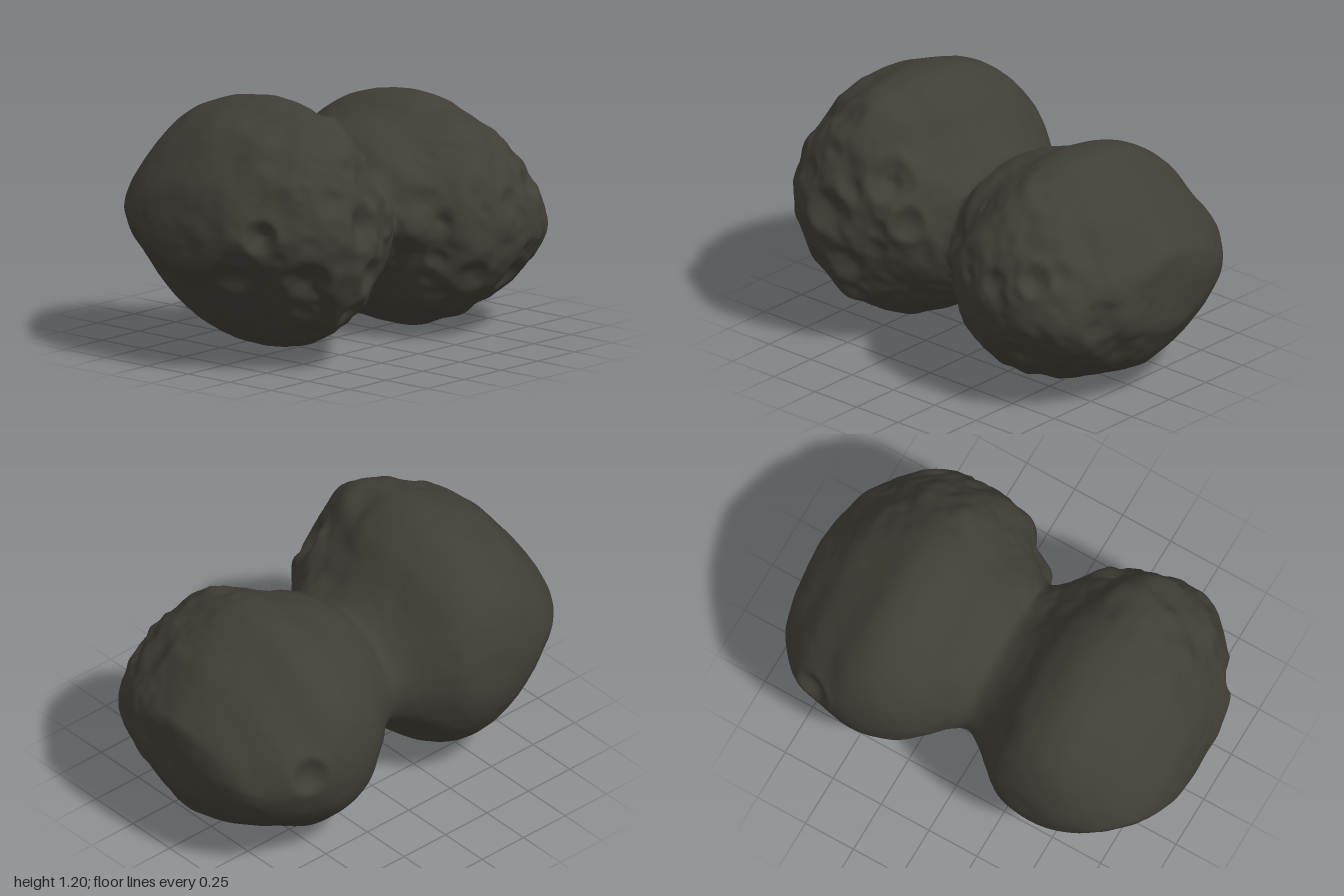
import * as THREE from 'three';
import { mergeVertices } from 'three/addons/utils/BufferGeometryUtils.js';

const { smoothstep } = THREE.MathUtils;

// outline of the body along x: [x, top y, bottom y, back z, front z]
const PROFILE = [
  [-1.0, 0.60, 0.60, -0.04, -0.04],
  [-0.993, 0.72, 0.51, -0.24, 0.17],
  [-0.96, 0.86, 0.46, -0.38, 0.29],
  [-0.88, 0.98, 0.38, -0.50, 0.42],
  [-0.78, 1.10, 0.26, -0.575, 0.56],
  [-0.66, 1.165, 0.14, -0.625, 0.62],
  [-0.53, 1.205, 0.07, -0.648, 0.63],
  [-0.40, 1.195, 0.05, -0.645, 0.60],
  [-0.27, 1.11, 0.10, -0.615, 0.545],
  [-0.16, 0.985, 0.185, -0.53, 0.48],
  [-0.08, 0.91, 0.25, -0.46, 0.41],
  [0.0, 0.88, 0.285, -0.42, 0.35],
  [0.08, 0.935, 0.225, -0.455, 0.41],
  [0.16, 0.975, 0.135, -0.52, 0.49],
  [0.27, 1.015, 0.055, -0.595, 0.595],
  [0.40, 1.07, 0.012, -0.635, 0.635],
  [0.53, 1.065, 0.02, -0.643, 0.63],
  [0.66, 0.995, 0.07, -0.62, 0.62],
  [0.78, 0.93, 0.11, -0.59, 0.58],
  [0.87, 0.845, 0.17, -0.515, 0.50],
  [0.95, 0.755, 0.29, -0.41, 0.36],
  [0.99, 0.69, 0.37, -0.25, 0.2],
  [1.0, 0.53, 0.53, -0.02, -0.02],
];

// larger dents: [x, y, z, radius, depth]; negative depth makes a mound
const CRATERS = [
  [-0.50, 0.69, 0.62, 0.11, 0.05], [-0.75, 0.46, 0.50, 0.11, 0.045],
  [-0.43, 0.45, 0.58, 0.09, 0.04], [-0.46, 0.28, 0.50, 0.08, 0.04],
  [-0.27, 0.85, 0.45, 0.11, 0.05], [-0.16, 0.68, 0.46, 0.08, 0.035],
  [-0.91, 0.68, 0.36, 0.08, 0.04], [-0.56, 1.06, 0.42, 0.10, 0.025],
  [-0.97, 0.42, 0.20, 0.10, 0.025], [0.69, 0.70, 0.57, 0.08, 0.04],
  [0.50, 0.64, 0.62, 0.07, 0.02], [0.30, 0.32, 0.55, 0.09, 0.025],
  [0.58, 0.30, 0.54, 0.09, 0.025], [0.93, 0.50, 0.38, 0.11, 0.025],
  [0.68, 0.58, -0.58, 0.09, 0.035],
  [0.07, 0.56, 0.40, 0.13, -0.03], [-0.48, 1.08, 0.38, 0.22, -0.035],
];

function seeded(seed) {
  return () => (seed = (seed * 16807) % 2147483647) / 2147483647;
}

// smooth value noise in -1..1
function hash(x, y, z) {
  const s = Math.sin(x * 127.1 + y * 311.7 + z * 74.7) * 43758.5453;
  return (s - Math.floor(s)) * 2 - 1;
}
function noise(x, y, z) {
  const i = [x, y, z].map(Math.floor);
  const [u, v, w] = [x - i[0], y - i[1], z - i[2]].map((f) => f * f * (3 - 2 * f));
  let sum = 0;
  for (let k = 0; k < 8; k++) {
    const a = k & 1, b = (k >> 1) & 1, c = k >> 2;
    sum += hash(i[0] + a, i[1] + b, i[2] + c) *
      (a ? u : 1 - u) * (b ? v : 1 - v) * (c ? w : 1 - w);
  }
  return sum;
}

// smooth two-lobed body lofted from rings, closing to a point at both ends
function loftBody(rings, sides) {
  const heights = new THREE.CatmullRomCurve3(
    PROFILE.map(([x, t, b]) => new THREE.Vector3(x, t, b)), false, 'catmullrom');
  const depths = new THREE.CatmullRomCurve3(
    PROFILE.map(([x, , , b, f]) => new THREE.Vector3(x, b, f)), false, 'catmullrom');
  const positions = [], index = [];
  for (let i = 0; i <= rings; i++) {
    const h = heights.getPoint(i / rings), d = depths.getPoint(i / rings);
    // full ellipses mid-lobe, leaner diagonals towards the ends and the neck
    const off = Math.abs(h.x) - 0.45;
    const power = 0.96 + (off > 0 ? 0.26 : 0.1) * smoothstep(Math.abs(off), 0.05, 0.45);
    const round = (v) => Math.sign(v) * Math.abs(v) ** power;
    for (let j = 0; j < sides; j++) {
      const a = (j / sides) * Math.PI * 2;
      positions.push(h.x,
        (h.y + h.z) / 2 + round(Math.cos(a)) * (h.y - h.z) / 2,
        (d.y + d.z) / 2 + round(Math.sin(a)) * (d.z - d.y) / 2);
      if (i === rings) continue;
      const k = (j + 1) % sides, p = i * sides, q = p + sides;
      index.push(p + j, p + k, q + k, p + j, q + k, q + j);
    }
  }
  const geometry = new THREE.BufferGeometry();
  geometry.setAttribute('position', new THREE.Float32BufferAttribute(positions, 3));
  geometry.setIndex(index);
  const merged = mergeVertices(geometry, 1e-5);
  merged.computeVertexNormals();
  return merged;
}

// push the surface along its normals: lumps, craters and small pits
function weather(geometry) {
  const pos = geometry.attributes.position, nor = geometry.attributes.normal;
  const points = [], normals = [];
  for (let i = 0; i < pos.count; i++) {
    points.push(new THREE.Vector3().fromBufferAttribute(pos, i));
    normals.push(new THREE.Vector3().fromBufferAttribute(nor, i));
  }
  const nearest = (c) => points.reduce((best, p) =>
    p.distanceToSquared(c) < best.distanceToSquared(c) ? p : best, points[0]);

  const rand = seeded(4211);
  const dents = CRATERS.map(([x, y, z, r, depth]) =>
    ({ c: nearest(new THREE.Vector3(x, y, z)), r, depth }));
  for (let i = 0; i < 26; i++) {
    const side = i % 2 ? 1 : -1;
    const c = new THREE.Vector3(side * (0.15 + rand() * 0.75),
      (side > 0 ? 0.15 : 0.25) + rand() * 0.75, 0.35 + rand() * 0.25);
    const r = 0.035 + rand() * 0.04;
    dents.push({ c: nearest(c), r, depth: r * 0.22 });
  }

  points.forEach((p, i) => {
    // the front is rough, the back is worn smooth
    const rough = smoothstep(p.z, -0.1, 0.4);
    let push = noise(p.x * 4 + 9, p.y * 4, p.z * 4) * (0.006 + 0.008 * rough)
      + noise(p.x * 9, p.y * 9 + 5, p.z * 9) * (0.004 + 0.013 * rough)
      + noise(p.x * 20, p.y * 20, p.z * 20 + 3) * (0.0015 + 0.004 * rough);
    for (const { c, r, depth } of dents) {
      const q = p.distanceTo(c) / r;
      if (q > 2) continue;
      if (q < 1) push -= depth * (1 - q * q) ** 1.5;
      if (depth > 0) push += depth * 0.14 * Math.exp(-(((q - 1.1) / 0.3) ** 2));
    }
    const moved = p.clone().addScaledVector(normals[i], push);
    pos.setXYZ(i, moved.x, moved.y, moved.z);
  });

  // centred and standing on the ground
  geometry.computeBoundingBox();
  const { min, max } = geometry.boundingBox;
  geometry.translate(-(min.x + max.x) / 2, -min.y, -(min.z + max.z) / 2);
  geometry.computeVertexNormals();
  return geometry;
}

export function createModel() {
  const rock = new THREE.MeshStandardMaterial({ color: 0x403e36 });
  rock.name = 'darkRock';

  const body = new THREE.Mesh(weather(loftBody(240, 200)), rock);
  body.name = 'twoLobedAsteroid';

  const model = new THREE.Group();
  model.name = 'asteroid';
  model.add(body);
  return model;
}
